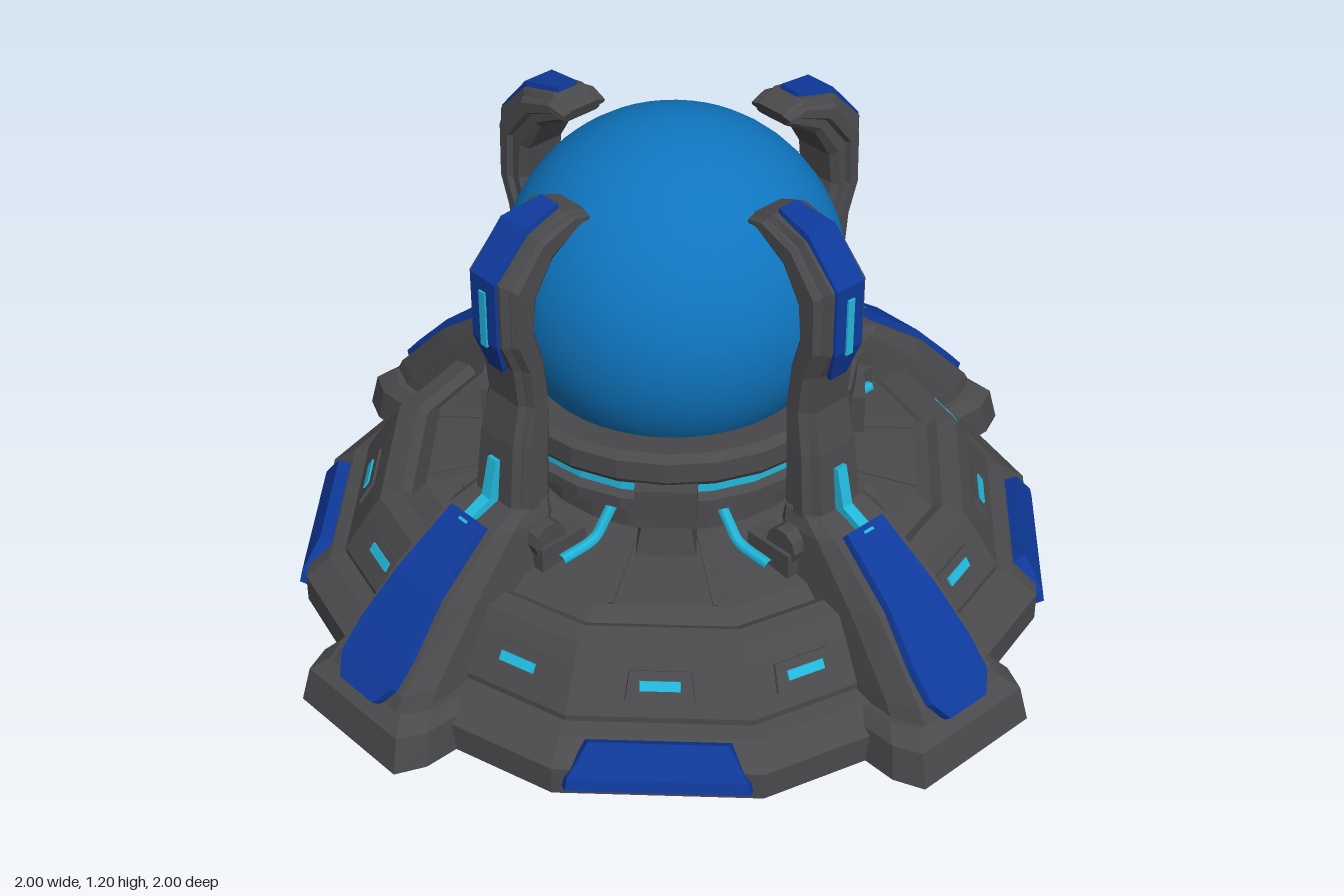
import * as THREE from 'three';

const mat = (name, color) => {
  const m = new THREE.MeshStandardMaterial({ color });
  m.name = name;
  return m;
};

// Faceted version of a geometry
const flat = (g) => {
  const f = g.index ? g.toNonIndexed() : g;
  f.computeVertexNormals();
  return f;
};

// Skin a stack of equal-length rings and cap both ends
function loft(rings) {
  const n = rings[0].length, idx = [];
  for (let i = 0; i < rings.length - 1; i++) {
    for (let j = 0; j < n; j++) {
      const a = i * n + j, b = i * n + (j + 1) % n;
      idx.push(a, b, b + n, a, b + n, a + n);
    }
  }
  const top = (rings.length - 1) * n;
  for (let j = 1; j < n - 1; j++) idx.push(0, j + 1, j, top, top + j, top + j + 1);
  const g = new THREE.BufferGeometry();
  g.setAttribute('position', new THREE.Float32BufferAttribute(rings.flat(2), 3));
  g.setIndex(idx);
  return flat(g);
}

// Limb facing +z; section = [outer z, outer y, inner z, inner y, half width, outer half width]
// from/to select the slice of the depth that is used
function limb(sections, from = 0, to = 1, widen = 0) {
  return loft(sections.map(([oz, oy, iz, iy, w, ow]) => {
    const p = (x, t) => {
      const k = from + (to - from) * t;
      return [x, oy + (iy - oy) * k, oz + (iz - oz) * k];
    };
    const a = w + widen, b = ow + widen;
    return [p(-b, 0), p(b, 0), p(a, 0.25), p(a, 0.85), p(b, 1), p(-b, 1), p(-a, 0.85), p(-a, 0.25)];
  }));
}

// Plate following a path of [z, y, half width], raised along the outward normal
function plate(path, raise, depth = 0.02) {
  return loft(path.map(([z, y, w], i) => {
    const p = path[Math.max(i - 1, 0)], q = path[Math.min(i + 1, path.length - 1)];
    const l = Math.hypot(q[0] - p[0], q[1] - p[1]);
    const nz = (q[1] - p[1]) / l, ny = (p[0] - q[0]) / l;
    const at = (x, d) => [x, y + ny * d, z + nz * d];
    return [at(-w * 0.9, raise), at(w * 0.9, raise), at(w, -depth), at(-w, -depth)];
  }));
}

const lathe = (pts, n) => flat(new THREE.LatheGeometry(pts.map(([r, y]) => new THREE.Vector2(r, y)), n));

export function createModel() {
  const grey = mat('dark grey metal', 0x4a4a4d);
  const blue = mat('deep blue armour', 0x0f3a9c);
  const orbBlue = mat('orb blue', 0x0f76c0);
  const cyan = mat('glowing cyan', 0x22b8dc);

  const model = new THREE.Group();
  model.name = 'orbPedestal';
  const add = (parent, name, geo, m, x = 0, y = 0, z = 0) => {
    const o = new THREE.Mesh(geo, m);
    o.name = name;
    o.position.set(x, y, z);
    parent.add(o);
    return o;
  };
  const spoke = (name, angle) => {
    const g = new THREE.Group();
    g.name = name;
    g.rotation.y = angle;
    model.add(g);
    return g;
  };

  // Twelve-sided stepped base with deck
  add(model, 'base', lathe([[0, 0], [0.9, 0], [0.9, 0.07], [0.84, 0.115], [0.8, 0.125], [0.8, 0.14],
    [0.735, 0.24], [0.71, 0.275], [0.66, 0.285], [0.635, 0.272], [0.6, 0.298], [0.36, 0.33], [0, 0.33]], 12), grey);

  // Neck, glowing band and collar under the orb
  add(model, 'neck', lathe([[0.35, 0.3], [0.35, 0.39], [0.41, 0.425], [0.41, 0.455], [0.38, 0.465],
    [0.38, 0.505], [0.42, 0.51], [0.43, 0.525], [0.43, 0.575], [0.41, 0.59], [0.33, 0.58]], 24), grey);
  add(model, 'neckGlowBand', lathe([[0.37, 0.468], [0.395, 0.47], [0.395, 0.495], [0.37, 0.498]], 24), cyan);
  add(model, 'orb', new THREE.SphereGeometry(0.4, 40, 28), orbBlue, 0, 0.8, 0);

  // Arm and foot cross-sections
  const arm = [
    [0.56, 0.38, 0.44, 0.34, 0.075, 0.06], [0.55, 0.46, 0.44, 0.46, 0.075, 0.06],
    [0.535, 0.6, 0.43, 0.6, 0.07, 0.055], [0.51, 0.7, 0.425, 0.7, 0.065, 0.05],
    [0.52, 0.8, 0.435, 0.79, 0.065, 0.05], [0.548, 0.87, 0.46, 0.88, 0.065, 0.05],
    [0.548, 1.03, 0.45, 0.96, 0.065, 0.05], [0.46, 1.12, 0.4, 1.04, 0.06, 0.05],
    [0.36, 1.14, 0.32, 1.085, 0.055, 0.045], [0.3, 1.12, 0.31, 1.09, 0.05, 0.04]];
  const foot = [
    [1, 0, 0.72, 0, 0.2, 0.17], [0.98, 0.085, 0.72, 0.085, 0.19, 0.16],
    [0.94, 0.115, 0.7, 0.11, 0.165, 0.13]];
  const leg = [
    [0.95, 0.1, 0.66, 0.08, 0.15, 0.12], [0.925, 0.145, 0.62, 0.14, 0.145, 0.115],
    [0.77, 0.31, 0.5, 0.28, 0.12, 0.095], [0.62, 0.42, 0.45, 0.4, 0.1, 0.08],
    [0.55, 0.445, 0.45, 0.44, 0.085, 0.07]];

  const geos = {
    arm: limb(arm), armRail: limb(arm, 0.18, 0.62, 0.013), foot: limb(foot), leg: limb(leg),
    legPlate: plate([[0.955, 0.11, 0.065], [0.925, 0.15, 0.1], [0.87, 0.21, 0.1],
      [0.77, 0.315, 0.08], [0.62, 0.425, 0.062]], 0.014),
    armPlate: plate([[0.52, 0.79, 0.028], [0.546, 0.87, 0.045], [0.546, 1.03, 0.045],
      [0.46, 1.125, 0.045], [0.36, 1.142, 0.03]], 0.009),
    armSlot: plate([[0.553, 0.86, 0.011], [0.553, 1.0, 0.011]], 0.006),
    channel: plate([[0.64, 0.415, 0.016], [0.565, 0.45, 0.016], [0.54, 0.55, 0.016]], 0.012),
    hinge: flat(new THREE.CylinderGeometry(0.045, 0.045, 0.05, 10).rotateZ(Math.PI / 2)),
    hingeBase: flat(new THREE.BoxGeometry(0.07, 0.07, 0.13)),
    pipe: new THREE.TubeGeometry(new THREE.CatmullRomCurve3([[0.34, 0.42], [0.37, 0.38], [0.4, 0.345], [0.5, 0.335]]
      .map(([z, y]) => new THREE.Vector3(0, y, z))), 12, 0.014, 6),
  };

  // Four feet with curved claws
  for (let i = 0; i < 4; i++) {
    const g = spoke('claw' + (i + 1), i * Math.PI / 2);
    add(g, 'foot', geos.foot, grey);
    add(g, 'leg', geos.leg, grey);
    add(g, 'arm', geos.arm, grey);
    add(g, 'armRail', geos.armRail, grey);
    add(g, 'legPlate', geos.legPlate, blue);
    add(g, 'armPlate', geos.armPlate, blue);
    add(g, 'armGlowSlot', geos.armSlot, cyan);
    add(g, 'legGlowChannel', geos.channel, cyan);
    for (const s of [-1, 1]) {
      add(g, 'hinge', geos.hinge, grey, s * 0.11, 0.37, 0.5);
      add(g, 'hingeBase', geos.hingeBase, grey, s * 0.11, 0.33, 0.47);
      add(g, 'glowPipe', geos.pipe, cyan, s * 0.17, 0, 0);
    }
  }

  const skirtPlate = plate([[0.877, 0.025, 0.225], [0.872, 0.05, 0.22], [0.83, 0.12, 0.17]], 0.016, 0.05);
  const ventFrame = plate([[0.748, 0.17, 0.085], [0.713, 0.225, 0.075]], 0.012);
  const ventGlow = plate([[0.737, 0.188, 0.05], [0.725, 0.207, 0.05]], 0.016);
  const bracket = flat(new THREE.BoxGeometry(0.14, 0.1, 0.1));
  const bracketFoot = flat(new THREE.CylinderGeometry(0.07, 0.1, 0.12, 4, 1).rotateY(Math.PI / 4));
  const rib = flat(new THREE.BoxGeometry(0.012, 0.012, 0.22).rotateX(0.13));

  // Four diagonal sectors: skirt armour, vents, neck bracket, deck ribs
  for (let i = 0; i < 4; i++) {
    const a = Math.PI / 4 + i * Math.PI / 2;
    const g = spoke('sector' + (i + 1), a);
    add(g, 'skirtPlate', skirtPlate, blue);
    add(g, 'neckBracket', bracket, grey, 0, 0.465, 0.4);
    add(g, 'bracketFoot', bracketFoot, grey, 0, 0.37, 0.36);
    for (const s of [-1, 0, 1]) {
      const v = spoke('vent', a + s * Math.PI / 6);
      add(v, 'ventFrame', ventFrame, grey, -s * 0.06, 0, 0);
      add(v, 'ventGlow', ventGlow, cyan, -s * 0.06, 0, 0);
    }
    for (const s of [-1, 1]) {
      add(spoke('deckSeam', a + s * 0.2), 'deckRib', rib, grey, 0, 0.311, 0.48);
    }
  }
  return model;
}
